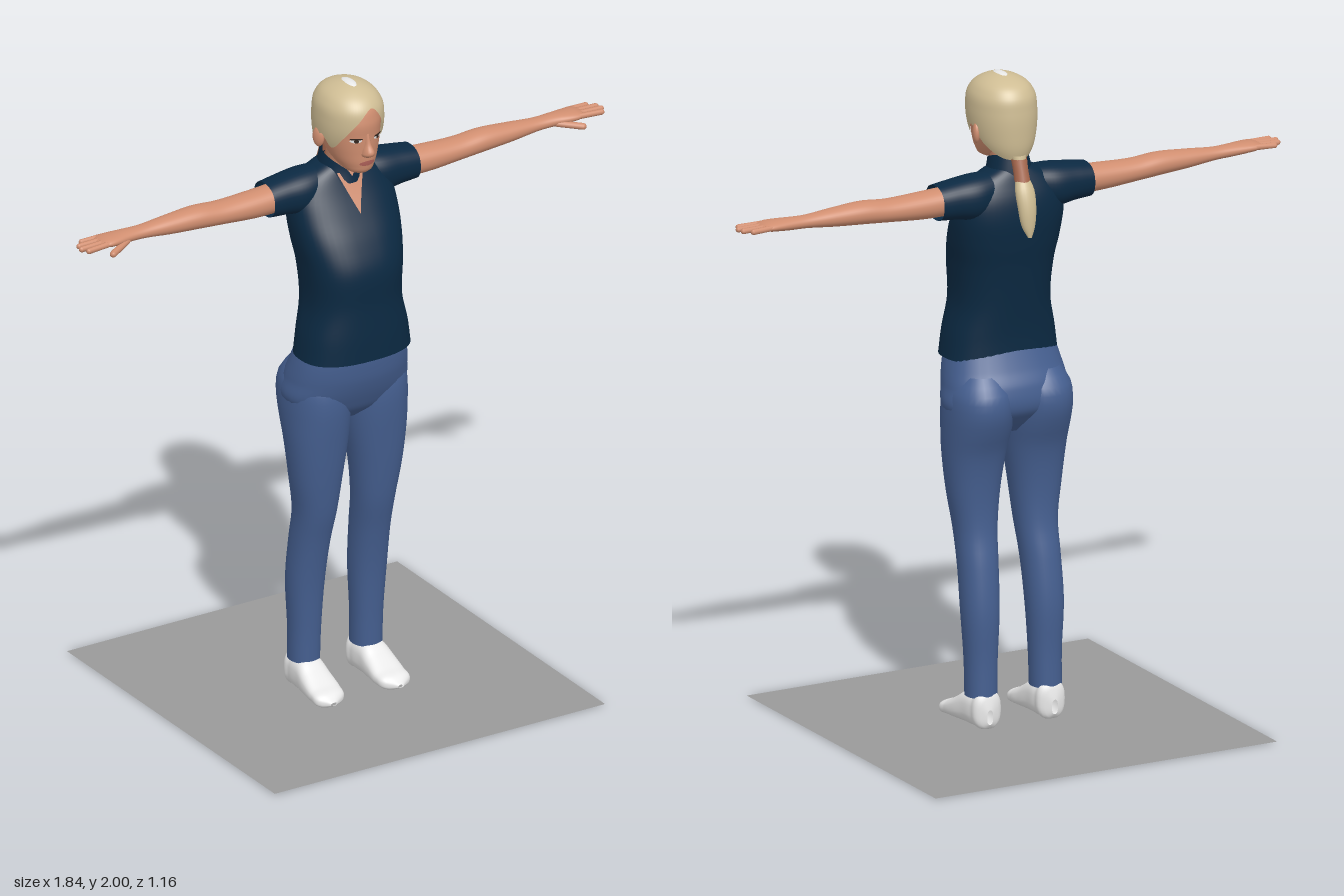
import * as THREE from 'three';
import { mergeVertices } from 'three/addons/utils/BufferGeometryUtils.js';

const mat = (name, color, side = THREE.DoubleSide) => new THREE.MeshStandardMaterial({ name, color, side });

// Smooth surface through a grid of points fn(u, v), u and v in 0..1
function grid(fn, nu, nv) {
  const pos = [], idx = [];
  for (let j = 0; j <= nv; j++)
    for (let i = 0; i <= nu; i++) pos.push(...fn((i % nu) / nu, j / nv));
  for (let j = 0; j < nv; j++)
    for (let i = 0; i < nu; i++) {
      const a = j * (nu + 1) + i, b = a + 1, c = a + nu + 1, d = c + 1;
      idx.push(a, b, d, a, d, c);
    }
  let g = new THREE.BufferGeometry();
  g.setAttribute('position', new THREE.Float32BufferAttribute(pos, 3));
  g.setIndex(idx);
  g = mergeVertices(g, 1e-5);
  g.computeVertexNormals();
  return g;
}

// Interpolates cross-sections [t, aMin, aMax, bMin, bMax]
function sampler(sections) {
  const it = new THREE.CubicInterpolant(sections.map(s => s[0]), sections.flatMap(s => s.slice(1)), 4, new Float32Array(4));
  return t => {
    const [a0, a1, b0, b1] = it.evaluate(t);
    return { ca: (a0 + a1) / 2, ra: Math.abs(a1 - a0) / 2, cb: (b0 + b1) / 2, rb: Math.abs(b1 - b0) / 2 };
  };
}

// Lofts rounded sections along an axis; range(u, v) may override the position along it
function loft(sections, { axis = 'y', n = 2, nu = 36, nv = 40, range } = {}) {
  const at = sampler(sections), t0 = sections[0][0], t1 = sections.at(-1)[0];
  const pw = c => Math.sign(c) * Math.abs(c) ** (2 / n);
  return grid((u, v) => {
    const t = range ? range(u, v) : t0 + (t1 - t0) * v, s = at(t), w = u * Math.PI * 2;
    const a = s.ca + s.ra * pw(Math.sin(w)) * (axis === 'y' ? 1 : -1), b = s.cb + s.rb * pw(Math.cos(w));
    return axis === 'y' ? [a, t, b] : axis === 'x' ? [t, a, b] : [a, b, t];
  }, nu, nv);
}

// Thin disc or V laid on the front of a loft; shape(u) gives its outline
function patch(sections, n, lift, centre, shape) {
  const at = sampler(sections);
  return grid((u, v) => {
    const [ox, oy] = shape(u), x = centre[0] + ox * (1 - v), y = centre[1] + oy * (1 - v), s = at(y);
    const k = Math.min(1, Math.abs((x - s.ca) / s.ra));
    return [x, y, s.cb + s.rb * (1 - k ** n) ** (1 / n) + lift];
  }, 30, 8);
}
const oval = (rx, ry) => u => [rx * Math.cos(u * 2 * Math.PI), ry * Math.sin(u * 2 * Math.PI)];

// Rounded rod between two points
function rod(p, q, r) {
  const a = new THREE.Vector3(...p), b = new THREE.Vector3(...q), d = b.clone().sub(a);
  const g = new THREE.CapsuleGeometry(r, d.length(), 5, 10);
  g.applyQuaternion(new THREE.Quaternion().setFromUnitVectors(new THREE.Vector3(0, 1, 0), d.normalize()));
  return g.translate(...a.add(b).multiplyScalar(0.5).toArray());
}

function mirrored(g) {
  const m = g.clone().scale(-1, 1, 1), ix = m.index.array;
  for (let i = 0; i < ix.length; i += 3) [ix[i], ix[i + 1]] = [ix[i + 1], ix[i]];
  m.computeVertexNormals();
  return m;
}

const sym = (t, x, z0, z1) => [t, -x, x, z0, z1];

export function createModel() {
  const model = new THREE.Group();
  const skin = mat('skin', 0xd08e70), shirt = mat('navy shirt', 0x0b2942), denim = mat('blue trousers', 0x455f90);
  const blond = mat('blond hair', 0xcfbd94), white = mat('white', 0xe8e8e8), grey = mat('grey base', 0x999999);
  const lip = mat('lips', 0xb0625a), dark = mat('dark eyes', 0x33261f), band = mat('hair band', 0xa8694f);

  const add = (name, g, m) => {
    const mesh = new THREE.Mesh(g, m);
    mesh.name = name;
    model.add(mesh);
  };
  const pair = (name, g, m) => {
    add('left' + name, g, m);
    add('right' + name, mirrored(g), m);
  };

  // Flat base
  add('basePlate', new THREE.PlaneGeometry(1.16, 1.16).rotateX(-Math.PI / 2), grey);

  // Shoes
  pair('Shoe', loft([
    [-0.066, 0.1, 0.12, 0.015, 0.06], [-0.058, 0.075, 0.143, 0.002, 0.098], [-0.02, 0.063, 0.155, 0, 0.108],
    [0.03, 0.062, 0.16, 0, 0.105], [0.07, 0.06, 0.165, 0, 0.08], [0.12, 0.06, 0.166, 0, 0.052],
    [0.16, 0.075, 0.158, 0, 0.036], [0.176, 0.108, 0.128, 0.008, 0.018]], { axis: 'z', n: 2.6 }), white);

  // Trousers
  pair('TrouserLeg', loft([
    [0.095, 0.062, 0.157, -0.057, 0.042], [0.2, 0.06, 0.158, -0.056, 0.046], [0.36, 0.052, 0.166, -0.06, 0.06],
    [0.5, 0.046, 0.165, -0.045, 0.085], [0.6, 0.038, 0.167, -0.027, 0.11], [0.72, 0.025, 0.184, -0.028, 0.13],
    [0.85, 0.007, 0.197, -0.05, 0.147], [0.92, 0, 0.2, -0.078, 0.155], [0.98, 0, 0.2, -0.095, 0.158],
    [1.04, 0.005, 0.193, -0.088, 0.15], [1.09, 0.03, 0.165, -0.05, 0.12]], { n: 2.2 }), denim);
  add('trouserHips', loft([
    sym(0.9, 0.06, -0.01, 0.09), sym(0.94, 0.16, -0.05, 0.135), sym(0.98, 0.199, -0.08, 0.158),
    sym(1.05, 0.195, -0.08, 0.184), sym(1.1, 0.186, -0.058, 0.192), sym(1.17, 0.168, -0.03, 0.195)], { n: 2.3 }), denim);

  // Shirt
  const torso = [
    sym(1.13, 0.182, -0.035, 0.21), sym(1.2, 0.172, -0.036, 0.21), sym(1.3, 0.152, -0.045, 0.207),
    sym(1.42, 0.158, -0.06, 0.207), sym(1.5, 0.17, -0.073, 0.178), sym(1.58, 0.174, -0.08, 0.135),
    sym(1.64, 0.164, -0.073, 0.103), sym(1.69, 0.13, -0.055, 0.08), sym(1.715, 0.085, -0.045, 0.07), sym(1.73, 0.05, -0.035, 0.06)];
  add('shirtBody', loft(torso, { n: 2.5, nu: 48 }), shirt);
  pair('Sleeve', loft([
    [0.07, 1.6, 1.715, -0.05, 0.065], [0.13, 1.58, 1.714, -0.062, 0.076], [0.2, 1.588, 1.706, -0.056, 0.071],
    [0.256, 1.592, 1.698, -0.05, 0.067]], { axis: 'x', n: 2.3, nv: 16 }), shirt);
  add('collar', loft([
    sym(1.66, 0.085, -0.055, 0.098), sym(1.71, 0.07, -0.05, 0.088), sym(1.775, 0.056, -0.038, 0.085)], {
    nv: 8, range: (u, v) => 1.67 + v * (0.02 + 0.085 * Math.sin(u * Math.PI) ** 0.6)
  }), shirt);
  const vOutline = [[-0.046, 0.06], [0, -0.06], [0.046, 0.06], [-0.046, 0.06]];
  add('necklineSkin', patch(torso, 2.5, 0.006, [0, 1.645], u => {
    const k = Math.min(2, Math.floor(u * 3)), f = u * 3 - k, [p, q] = [vOutline[k], vOutline[k + 1]];
    return [p[0] + (q[0] - p[0]) * f, p[1] + (q[1] - p[1]) * f];
  }), skin);

  // Arms and hands
  pair('Arm', loft([
    [0.2, 1.602, 1.69, -0.04, 0.06], [0.3, 1.602, 1.684, -0.036, 0.06], [0.42, 1.611, 1.68, -0.032, 0.056],
    [0.5, 1.617, 1.686, -0.03, 0.055], [0.6, 1.624, 1.68, -0.022, 0.048], [0.7, 1.634, 1.672, -0.014, 0.04],
    [0.75, 1.636, 1.673, -0.016, 0.044], [0.8, 1.64, 1.673, -0.02, 0.054], [0.835, 1.646, 1.67, -0.02, 0.054],
    [0.85, 1.656, 1.662, -0.01, 0.044]], { axis: 'x', n: 2.1 }), skin);
  [0.885, 0.907, 0.912, 0.9].forEach((tip, i) => {
    const z = -0.012 + i * 0.019;
    pair('Finger' + (i + 1), rod([0.82, 1.658, z], [tip, 1.656, z * 1.15], 0.0088), skin);
  });
  pair('Thumb', rod([0.755, 1.648, 0.035], [0.825, 1.634, 0.068], 0.0105), skin);

  // Neck and head
  add('neck', loft([sym(1.66, 0.06, -0.035, 0.065), sym(1.71, 0.045, -0.025, 0.078), sym(1.79, 0.048, -0.02, 0.11)], { nv: 12 }), skin);
  const head = [
    sym(1.724, 0.012, 0.115, 0.145), sym(1.732, 0.034, 0.085, 0.162), sym(1.755, 0.056, 0.03, 0.172),
    sym(1.8, 0.076, -0.02, 0.176), sym(1.85, 0.086, -0.04, 0.178), sym(1.9, 0.088, -0.04, 0.178),
    sym(1.95, 0.075, -0.03, 0.155), sym(1.985, 0.03, 0.02, 0.1)];
  add('head', loft(head, { n: 2.1 }), skin);
  add('nose', loft([
    sym(1.786, 0.006, 0.16, 0.178), sym(1.794, 0.019, 0.15, 0.196), sym(1.805, 0.018, 0.15, 0.205),
    sym(1.83, 0.011, 0.15, 0.191), sym(1.865, 0.007, 0.15, 0.18)], { nu: 16, nv: 14 }), skin);
  pair('Ear', new THREE.SphereGeometry(1, 16, 12).scale(0.012, 0.032, 0.02).rotateY(-0.4).translate(0.093, 1.828, 0.05), skin);

  // Painted face details
  add('lips', patch(head, 2.1, 0.004, [0, 1.768], oval(0.026, 0.008)), lip);
  for (const s of [-1, 1]) {
    const side = s > 0 ? 'left' : 'right';
    add(side + 'Eye', patch(head, 2.1, 0.003, [s * 0.037, 1.846], oval(0.016, 0.0065)), white);
    add(side + 'Iris', patch(head, 2.1, 0.005, [s * 0.037, 1.846], oval(0.0065, 0.0062)), dark);
    add(side + 'Lashes', patch(head, 2.1, 0.006, [s * 0.037, 1.853], oval(0.018, 0.003)), dark);
  }

  // Hair cap with an off-centre parting, temple locks and a low nape
  const hairline = new THREE.CubicInterpolant(
    [-3.15, -2.3, -1.85, -1.5, -1.1, -0.75, -0.4, 0.15, 0.5, 0.8, 1.1, 1.5, 1.85, 2.3, 3.15],
    [1.755, 1.765, 1.8, 1.85, 1.81, 1.855, 1.9, 1.945, 1.9, 1.85, 1.81, 1.85, 1.8, 1.765, 1.755], 1, new Float32Array(1));
  add('hair', loft([
    sym(1.74, 0.05, -0.04, 0.1), sym(1.78, 0.078, -0.052, 0.14), sym(1.82, 0.093, -0.056, 0.17),
    sym(1.9, 0.1, -0.056, 0.188), sym(1.95, 0.09, -0.045, 0.176), sym(1.98, 0.062, -0.012, 0.14),
    sym(1.993, 0.03, 0.03, 0.105), sym(1.998, 0.006, 0.06, 0.075)], {
    n: 2.1, nu: 72, nv: 30,
    range: (u, v) => {
      const h = hairline.evaluate(u > 0.5 ? (u - 1) * 2 * Math.PI : u * 2 * Math.PI)[0];
      return h + (1.998 - h) * Math.sin(v * Math.PI / 2);
    }
  }), blond);
  add('crownPatch', new THREE.SphereGeometry(1, 20, 12).scale(0.022, 0.014, 0.042).translate(0, 1.986, 0.07), white);

  // Ponytail
  add('ponytail', loft([
    sym(1.53, 0.006, -0.116, -0.106), sym(1.56, 0.02, -0.119, -0.086), sym(1.62, 0.029, -0.116, -0.07),
    sym(1.67, 0.03, -0.102, -0.055), sym(1.72, 0.018, -0.074, -0.038), sym(1.77, 0.024, -0.06, -0.015)], { nu: 20, nv: 24 }), blond);
  add('hairBand', loft([
    sym(1.695, 0.024, -0.088, -0.04), sym(1.725, 0.023, -0.078, -0.03), sym(1.76, 0.025, -0.066, -0.02)], { nu: 20, nv: 6 }), band);

  return model;
}
